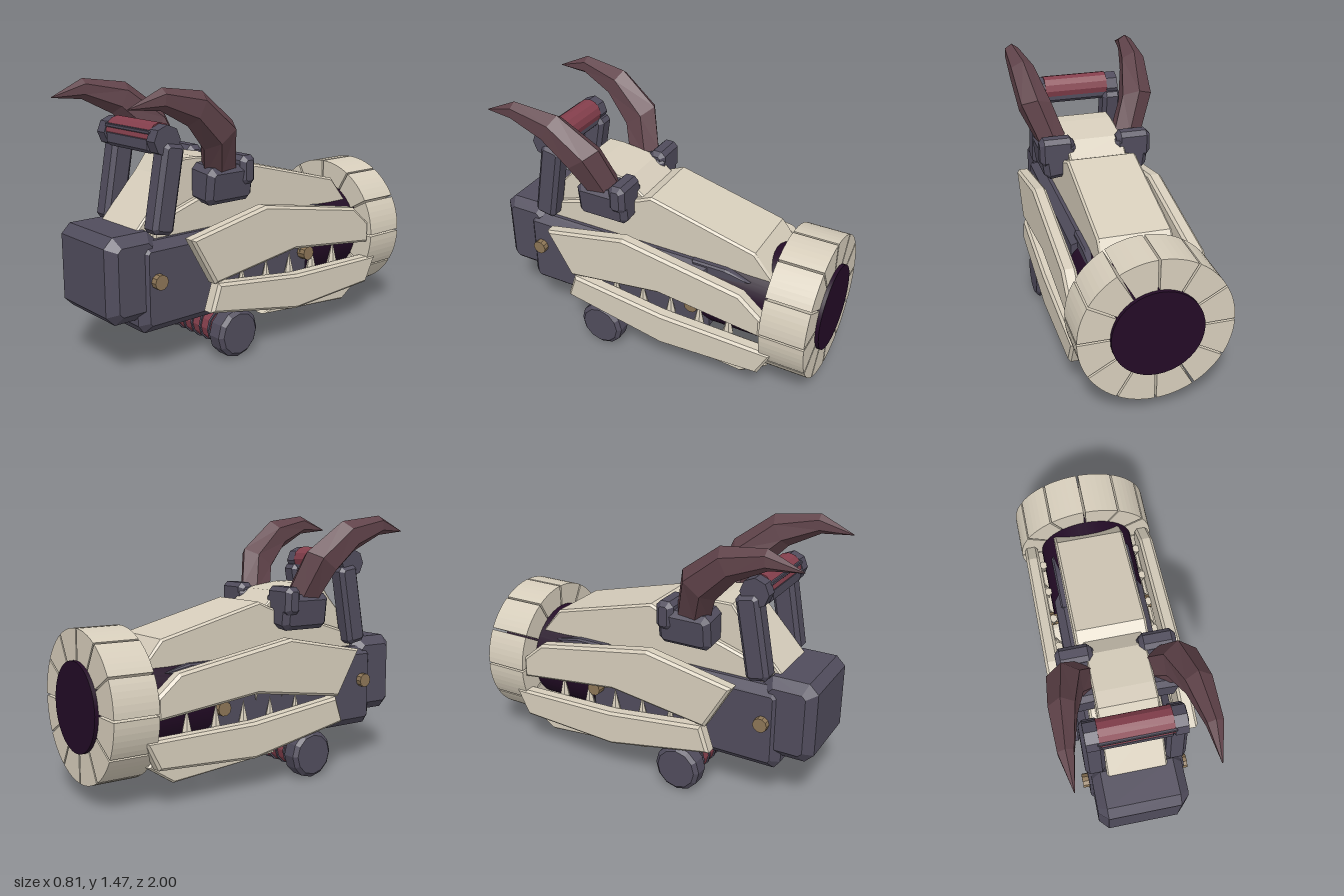
import * as THREE from 'three';

const mat = (name, color) => {
  const m = new THREE.MeshStandardMaterial({ color });
  m.name = name;
  return m;
};

// Faceted, non-indexed copy of a geometry
function facet(geo) {
  const g = geo.index ? geo.toNonIndexed() : geo;
  g.computeVertexNormals();
  return g;
}

// Copy reflected across x = 0, with corner order restored
function mirrored(geo) {
  const g = geo.clone().scale(-1, 1, 1);
  for (const key of ['position', 'uv']) {
    const a = g.attributes[key];
    if (!a) continue;
    const n = a.itemSize;
    for (let i = 0; i < a.count; i += 3)
      for (let k = 0; k < n; k++) {
        const p = (i + 1) * n + k, q = (i + 2) * n + k;
        [a.array[p], a.array[q]] = [a.array[q], a.array[p]];
      }
  }
  g.computeVertexNormals();
  return g;
}

// Bevelled slab from a side outline of [z, y] points, between x0 and x1
function slab(points, x0, x1, bevel) {
  const shape = new THREE.Shape(points.map(([z, y]) => new THREE.Vector2(z, y)));
  const depth = x1 - x0 - 2 * bevel;
  const g = new THREE.ExtrudeGeometry(shape, {
    depth, bevelEnabled: bevel > 0, bevelThickness: bevel, bevelSize: bevel,
    bevelOffset: -bevel, bevelSegments: 1,
  });
  g.translate(0, 0, -depth / 2).rotateY(-Math.PI / 2).translate((x0 + x1) / 2, 0, 0);
  return facet(g);
}

// Box with every edge chamfered, centred on the origin
function block(w, h, d, c) {
  const z = d / 2, y = h / 2;
  return slab([[-z + c, -y], [z - c, -y], [z, -y + c], [z, y - c],
    [z - c, y], [-z + c, y], [-z, y - c], [-z, -y + c]], -w / 2, w / 2, c);
}

// Cylinder lying along x from x0 to x1
function rod(r, x0, x1, y, z, sides, r2 = r) {
  const g = new THREE.CylinderGeometry(r2, r, x1 - x0, sides);
  return facet(g.rotateX(0).rotateZ(-Math.PI / 2).translate((x0 + x1) / 2, y, z));
}

// Tapering horn lofted through hexagonal sections [x, y, z, halfWidth, halfHeight]
function hornGeometry() {
  const rows = [
    [0.21, 0.95, 0.28, 0.08, 0.1], [0.225, 1.02, 0.3, 0.085, 0.1],
    [0.3, 1.205, 0.365, 0.09, 0.115], [0.335, 1.355, 0.54, 0.07, 0.095],
    [0.355, 1.415, 0.755, 0.042, 0.055], [0.35, 1.38, 0.94, 0.002, 0.002],
  ];
  const pos = [], idx = [], sides = 6;
  rows.forEach(([x, y, z, w, h], i) => {
    const a = rows[Math.max(i - 1, 0)], b = rows[Math.min(i + 1, rows.length - 1)];
    const len = Math.hypot(b[1] - a[1], b[2] - a[2]);
    const ty = (b[1] - a[1]) / len, tz = (b[2] - a[2]) / len;
    for (let j = 0; j < sides; j++) {
      const t = ((j + 0.5) / sides) * Math.PI * 2;
      pos.push(x + w * Math.cos(t) * 1.1, y + tz * h * Math.sin(t), z - ty * h * Math.sin(t));
      if (i < rows.length - 1) {
        const p = i * sides + j, q = i * sides + (j + 1) % sides;
        idx.push(p, q, q + sides, p, q + sides, p + sides);
      }
    }
  });
  const g = new THREE.BufferGeometry();
  g.setAttribute('position', new THREE.Float32BufferAttribute(pos, 3));
  g.setIndex(idx);
  return facet(g);
}

export function createModel() {
  const model = new THREE.Group();
  model.name = 'hornedSkullCannon';
  const bone = mat('bone', 0xd6cdbb), iron = mat('dark iron', 0x504c5c);
  const red = mat('red grip', 0x843f4c), horn = mat('horn', 0x60434a);
  const violet = mat('dark violet', 0x230b26), brass = mat('brass', 0x8c7556);

  const add = (name, geo, material) => {
    const m = new THREE.Mesh(geo, material);
    m.name = name;
    model.add(m);
  };
  const pair = (name, geo, material) => {
    add(name + 'Left', geo, material);
    add(name + 'Right', mirrored(geo), material);
  };

  // Body
  add('endBlock', block(0.5, 0.45, 0.3, 0.05).translate(0, 0.525, 0.85), iron);
  add('body', slab([[0.79, 0.225], [0.825, 0.27], [0.825, 0.66], [0.79, 0.7], [-0.36, 0.7],
    [-0.36, 0.27], [-0.3, 0.225]], -0.265, 0.265, 0.045), iron);
  add('bodyNeck', slab([[-0.25, 0.55], [-0.25, 0.705], [-0.45, 0.705], [-0.6, 0.67],
    [-0.4, 0.62]], -0.235, 0.235, 0.01), iron);

  // Barrel and its segmented muzzle ring
  const tube = (r, z0, z1) => new THREE.CylinderGeometry(r, r, z1 - z0, 40)
    .rotateX(Math.PI / 2).translate(0, 0.5, (z0 + z1) / 2);
  add('barrel', tube(0.28, -0.76, -0.3), violet);
  add('muzzleCore', tube(0.24, -1, -0.7), violet);
  for (let i = 0; i < 12; i++) {
    const a = (i * Math.PI) / 6, r = 0.405, r0 = 0.238;
    const s = new THREE.Shape();
    s.absarc(0, 0, r, a + 0.014, a + Math.PI / 6 - 0.014, false);
    s.absarc(0, 0, r0, a + Math.PI / 6 - 0.022, a + 0.022, true);
    const g = new THREE.ExtrudeGeometry(s, { depth: 0.25, bevelEnabled: false, curveSegments: 3 });
    add('muzzleSegment' + (i + 1), facet(g.translate(0, 0.5, -0.98)), bone);
  }

  // Skull top
  add('skullBack', slab([[0.79, 0.7], [0.79, 0.74], [0.56, 0.99], [0.49, 1.08], [0.4, 1.08],
    [0.18, 1.05], [0.08, 0.97], [0.08, 0.7]], -0.165, 0.165, 0.008), bone);
  add('skullTop', slab([[0.7, 0.69], [0.7, 0.78], [0.45, 0.86], [0.1, 0.965], [0.02, 1],
    [-0.6, 0.84], [-0.73, 0.68], [-0.45, 0.69]], -0.2, 0.2, 0.012), bone);

  // Jaw plates
  pair('upperJaw', slab([[0.6, 0.71], [0.1, 0.81], [-0.6, 0.69], [-0.73, 0.58], [-0.73, 0.46],
    [-0.12, 0.53], [0.45, 0.45]], 0.305, 0.385, 0.015), bone);
  pair('lowerJaw', slab([[0.43, 0.45], [-0.14, 0.38], [-0.8, 0.365], [-0.725, 0.21],
    [-0.135, 0.18], [0.48, 0.3]], 0.305, 0.388, 0.015), bone);
  pair('chinPlate', slab([[0.055, 0.172], [-0.3, 0.26], [-0.7, 0.27], [-0.75, 0.21],
    [-0.6, 0.11]], 0.24, 0.31, 0.01), bone);

  // Teeth
  for (let i = 0; i < 5; i++) {
    const z = 0.2 - i * 0.178;
    const low = facet(new THREE.ConeGeometry(0.032, 0.14, 6).translate(0.295, 0.42, z));
    pair('lowerTooth' + (i + 1), low, bone);
    const up = facet(new THREE.ConeGeometry(0.026, 0.1, 6).rotateX(Math.PI)
      .translate(0.29, 0.52, z - 0.09));
    pair('upperTooth' + (i + 1), up, bone);
  }

  // Bolts
  pair('rearBolt', rod(0.04, 0.24, 0.3, 0.5, 0.73, 10), brass);
  pair('jawBolt', rod(0.04, 0.24, 0.318, 0.46, -0.29, 10), brass);

  // Horns and their sockets
  pair('hornSocket', block(0.21, 0.2, 0.31, 0.03).rotateZ(-0.12).translate(0.205, 0.945, 0.275), iron);
  pair('hornSocketLip', block(0.2, 0.16, 0.1, 0.025).translate(0.225, 1.0, 0.17), iron);
  pair('horn', hornGeometry(), horn);

  // Top handle
  pair('handleArm', block(0.112, 0.46, 0.13, 0.022).rotateX(-0.18).translate(0.22, 0.955, 0.65), iron);
  pair('handleEnd', rod(0.08, 0.19, 0.258, 1.197, 0.65, 8), iron);
  add('handleCore', block(0.4, 0.09, 0.14, 0.02).translate(0, 1.175, 0.65), iron);
  add('handleGrip', rod(0.074, -0.19, 0.19, 1.208, 0.645, 12), red);
  add('handleRail', block(0.4, 0.02, 0.02, 0.004).translate(0, 1.238, 0.71), iron);

  // Lower grip
  add('lowerGrip', rod(0.092, -0.27, 0.27, 0.135, 0.277, 12), red);
  for (let i = -3; i <= 3; i++)
    add('gripRib' + (i + 4), rod(0.1, i * 0.073 - 0.007, i * 0.073 + 0.007, 0.135, 0.277, 12), iron);
  pair('gripCap', rod(0.134, 0.275, 0.35, 0.134, 0.277, 12), iron);
  pair('gripCapInner', rod(0.112, 0.258, 0.275, 0.134, 0.277, 12, 0.134), iron);
  pair('gripCapOuter', rod(0.134, 0.35, 0.37, 0.134, 0.277, 12, 0.112), iron);

  return model;
}
